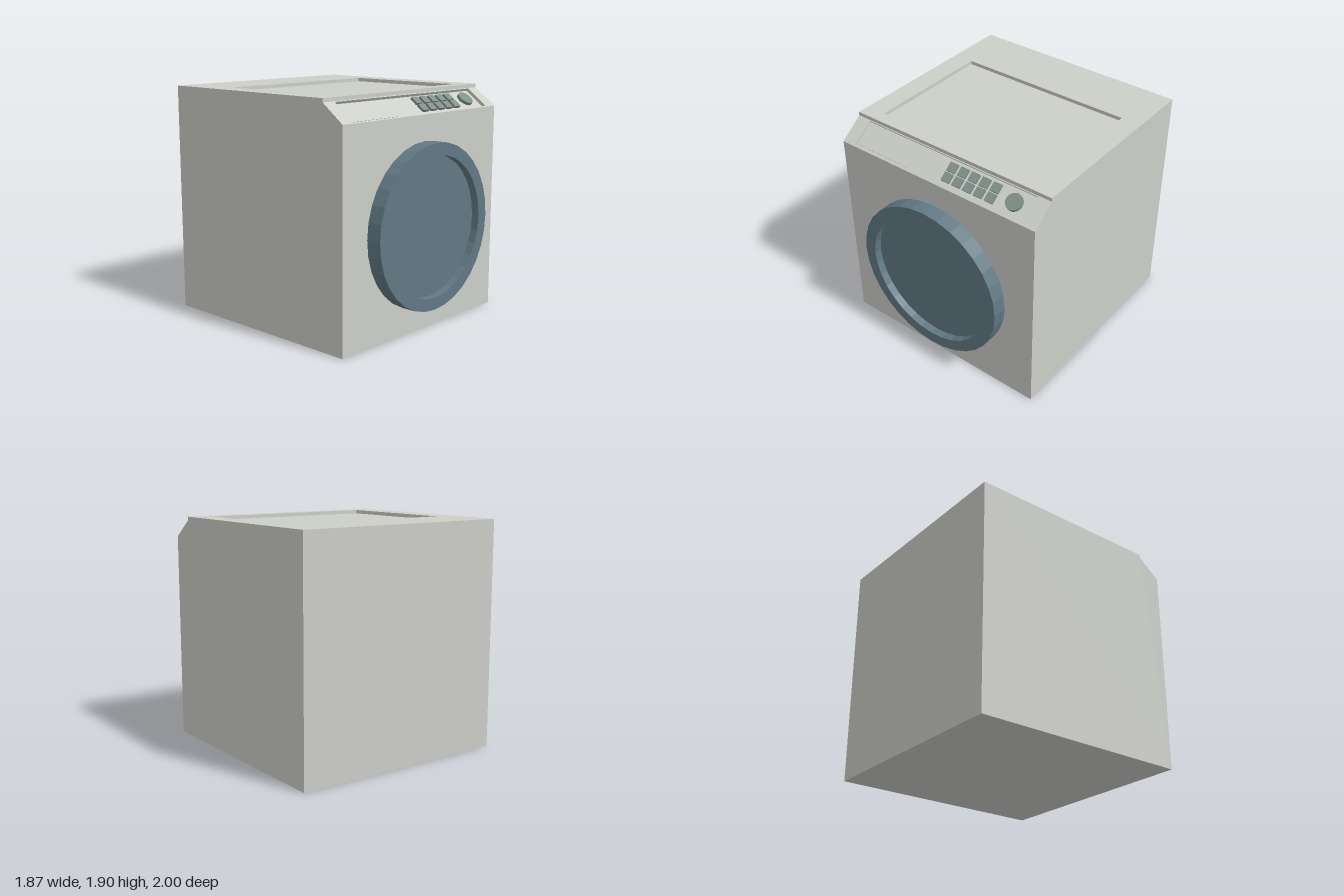
import * as THREE from 'three';

const W = 1.87;

function material(name, color) {
  const m = new THREE.MeshStandardMaterial({ color });
  m.name = name;
  return m;
}

function addMesh(parent, name, geometry, mat, x = 0, y = 0, z = 0) {
  const mesh = new THREE.Mesh(geometry, mat);
  mesh.name = name;
  mesh.position.set(x, y, z);
  parent.add(mesh);
  return mesh;
}

function rectPath(path, x0, y0, x1, y1) {
  path.moveTo(x0, y0);
  path.lineTo(x1, y0);
  path.lineTo(x1, y1);
  path.lineTo(x0, y1);
  path.closePath();
  return path;
}

// Flat face with an optional sunken rectangular pocket; local z is the outward normal
function addFace(group, name, height, mat, pocket) {
  const shape = rectPath(new THREE.Shape(), -W / 2, 0, W / 2, height);
  if (pocket) {
    const { halfWidth: hw, v0, v1, depth } = pocket;
    shape.holes.push(rectPath(new THREE.Path(), -hw, v0, hw, v1));
    const h = v1 - v0, mid = (v0 + v1) / 2;
    addMesh(group, name + 'PocketFloor', new THREE.PlaneGeometry(2 * hw, h), mat, 0, mid, -depth);
    for (const s of [-1, 1]) {
      addMesh(group, name + 'PocketSide', new THREE.PlaneGeometry(depth, h), mat, s * hw, mid, -depth / 2)
        .rotation.y = -s * Math.PI / 2;
      addMesh(group, name + 'PocketEnd', new THREE.PlaneGeometry(2 * hw, depth), mat, 0, s > 0 ? v1 : v0, -depth / 2)
        .rotation.x = s * Math.PI / 2;
    }
  }
  addMesh(group, name, new THREE.ShapeGeometry(shape), mat);
}

export function createModel() {
  const model = new THREE.Group();
  model.name = 'washingMachine';
  const body = material('warmGreyBody', 0xcccec8);
  const blue = material('slateBlueDoor', 0x627984);
  const control = material('greyGreenControls', 0x80908a);

  // Cabinet: side profile as [z, y], one face per edge
  const profile = [[0.875, 0], [0.875, 1.73], [0.68, 1.875], [0.68, 1.905], [-1, 1.905], [-1, 0]];
  const names = ['frontPanel', 'controlPanel', 'topLip', 'topPanel', 'backPanel', 'bottomPanel'];
  const pockets = {
    controlPanel: { halfWidth: 0.818, v0: 0.012, v1: 0.235, depth: 0.025 },
    topPanel: { halfWidth: 0.76, v0: 0.1, v1: 1.19, depth: 0.03 },
  };
  const faces = {};
  profile.forEach(([z, y], i) => {
    const [z2, y2] = profile[(i + 1) % profile.length];
    const face = faces[names[i]] = new THREE.Group();
    face.name = names[i] + 'Group';
    face.position.set(0, y, z);
    face.rotation.x = Math.atan2(z2 - z, y2 - y);
    addFace(face, names[i], Math.hypot(z2 - z, y2 - y), body, pockets[names[i]]);
    model.add(face);
  });

  // Side panels
  for (const s of [-1, 1]) {
    const shape = new THREE.Shape(profile.map(([z, y]) => new THREE.Vector2(-s * z, y)));
    addMesh(model, s > 0 ? 'leftPanel' : 'rightPanel', new THREE.ShapeGeometry(shape), body, s * W / 2)
      .rotation.y = s * Math.PI / 2;
  }

  // Controls on the sloped panel, standing on the pocket floor
  const panel = faces.controlPanel;
  const floor = -0.025;
  addMesh(panel, 'detergentDrawer', new THREE.BoxGeometry(0.505, 0.195, 0.008), body, -0.545, 0.128, floor + 0.004);
  for (let col = 0; col < 5; col++) {
    for (const v of [0.088, 0.172]) {
      addMesh(panel, 'button', new THREE.BoxGeometry(0.074, 0.074, 0.02), control, 0.073 + col * 0.102, v, floor + 0.01);
    }
  }
  const knob = new THREE.CylinderGeometry(0.068, 0.068, 0.025, 24).rotateX(Math.PI / 2);
  addMesh(panel, 'dial', knob, control, 0.67, 0.131, floor + 0.0125);

  // Round door: faceted rim with sunken window
  const doorProfile = [[0.67, 0], [0.67, 0.125], [0.57, 0.125], [0.57, 0.06], [0, 0.06]]
    .map(([r, z]) => new THREE.Vector2(r, z));
  const door = new THREE.LatheGeometry(doorProfile, 32).rotateX(Math.PI / 2).toNonIndexed();
  door.computeVertexNormals();
  addMesh(model, 'door', door, blue, 0, 0.853, 0.875);

  return model;
}
